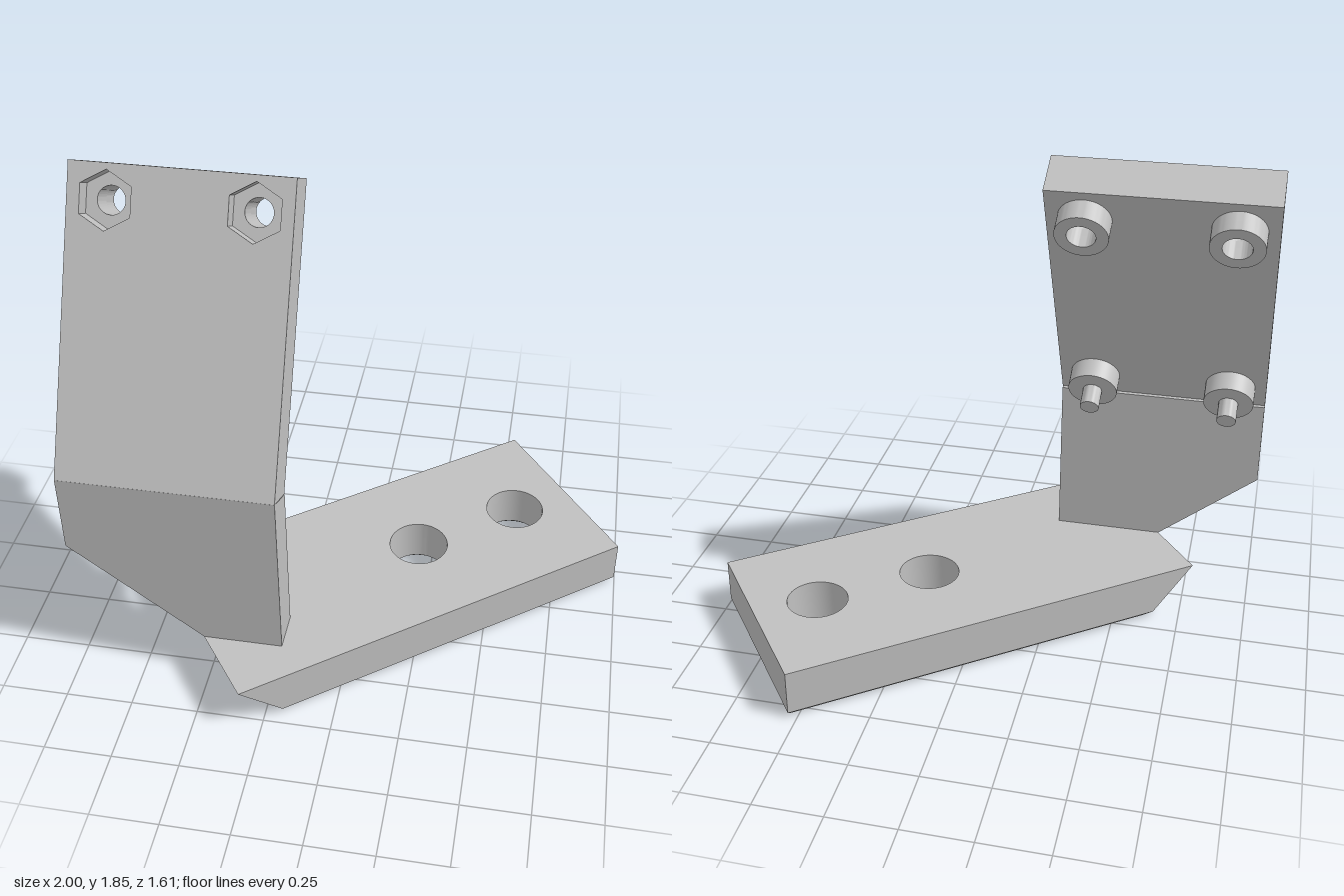
import * as THREE from 'three';
import { toCreasedNormals } from 'three/addons/utils/BufferGeometryUtils.js';

const grey = new THREE.MeshStandardMaterial({ color: 0xc0c0c0 });
grey.name = 'grey';

function add(parent, geometry, name) {
  const mesh = new THREE.Mesh(toCreasedNormals(geometry, 0.5), grey);
  mesh.name = name;
  parent.add(mesh);
  return mesh;
}

function polygon(points) {
  return new THREE.Shape(points.map(([x, y]) => new THREE.Vector2(x, y)));
}

function circle(x, y, r) {
  return new THREE.Path().absarc(x, y, r, 0, Math.PI * 2, true);
}

function hexagon(x, y, r) {
  const pts = [];
  for (let i = 0; i < 6; i++) {
    const a = Math.PI / 2 - (i * Math.PI) / 3;
    pts.push(new THREE.Vector2(x + r * Math.cos(a), y + r * Math.sin(a)));
  }
  return new THREE.Path(pts);
}

function extrude(shape, depth, steps = 1) {
  return new THREE.ExtrudeGeometry(shape, { depth, steps, bevelEnabled: false, curveSegments: 32 });
}

// Move every vertex by a rule
function warp(geometry, rule) {
  const p = geometry.attributes.position;
  const v = new THREE.Vector3();
  for (let i = 0; i < p.count; i++) {
    rule(v.fromBufferAttribute(p, i));
    p.setXYZ(i, v.x, v.y, v.z);
  }
  geometry.computeVertexNormals();
  return geometry;
}

const H = 0.187; // base thickness

// Foot bar with two holes, 45 degree end and a small chamfer underneath
function makeBase() {
  const L = 0.828, W = 0.385, R = 0.115, chamfer = 0.018;
  const holes = [0.583, 0.128];
  const shape = polygon([[-L, -W], [L, -W], [L, W], [-L, W]]);
  holes.forEach((u) => shape.holes.push(circle(u, 0, R)));
  const geo = warp(extrude(shape, H, 2), (v) => {
    const bottom = v.z < 0.01;
    if (!bottom && v.z < H - 0.01) v.z = chamfer;
    const hole = holes.find((u) => Math.hypot(v.x - u, v.y) < R + 0.01);
    if (hole !== undefined) {
      if (bottom) {
        const k = (R + chamfer) / R;
        v.x = hole + (v.x - hole) * k;
        v.y *= k;
      }
      return;
    }
    if (v.x < 0) v.x += H - v.z;
    if (bottom) {
      v.x -= Math.sign(v.x) * chamfer;
      v.y -= Math.sign(v.y) * chamfer;
    }
  });
  geo.rotateX(-Math.PI / 2);
  return geo;
}

// Upright plate whose lower corner continues the sloped end of the base
function makeUpright() {
  const shape = polygon([[-0.512, H], [-0.217, H], [-0.217, 0.88], [-1, 0.88], [-1, 0.572]]);
  return warp(extrude(shape, 0.15), (v) => {
    if (v.z < 0.01) {
      if (v.y > 0.8) v.y = 0.8;
      else if (v.x < -0.9) v.y = 0.482;
      else if (v.x < -0.4) v.x = -0.628;
    }
    v.z += 0.4;
  });
}

export function createModel() {
  const model = new THREE.Group();
  model.name = 'angledBracket';

  const base = add(model, makeBase(), 'base');
  base.rotation.y = 0.649;
  base.position.set(0.105, 0, -0.005);

  add(model, makeUpright(), 'uprightPlate');

  // Leaning plate: y runs up the slope, z is its front normal
  const lean = new THREE.Group();
  lean.name = 'leaningPlate';
  lean.position.set(-0.6085, 1.85, 0.03);
  lean.rotation.x = -0.493;
  model.add(lean);

  const half = 0.3915, T = 0.163, recess = 0.07, length = 1.1;
  const xs = [-0.257, 0.257], topY = -0.125, lowY = -0.995;
  const layer = (name, zBack, depth, cut) => {
    const shape = polygon([[-half, -length], [half, -length], [half, 0], [-half, 0]]);
    xs.forEach((x) => shape.holes.push(cut(x)));
    const geo = warp(extrude(shape, depth), (v) => {
      v.z += zBack;
      if (v.y < -1.05) v.y -= v.z * 0.02;
    });
    add(lean, geo, name);
  };
  layer('frontLayerWithNutPockets', -recess, recess, (x) => hexagon(x, topY, 0.103));
  layer('backLayerWithBoltHoles', -T, T - recess, (x) => circle(x, topY, 0.05));

  // Hollow bosses at the top, solid bosses with pins below
  for (const x of xs) {
    const ring = new THREE.Shape().absarc(0, 0, 0.093, 0, Math.PI * 2, false);
    ring.holes.push(circle(0, 0, 0.05));
    add(lean, extrude(ring, 0.08), 'hollowBoss').position.set(x, topY, -T - 0.08);

    const boss = new THREE.CylinderGeometry(0.093, 0.093, 0.08, 48).rotateX(Math.PI / 2);
    add(lean, boss, 'solidBoss').position.set(x, lowY, -T - 0.04);

    const pin = new THREE.CylinderGeometry(0.036, 0.036, 0.08, 32).rotateX(Math.PI / 2);
    add(lean, pin, 'pin').position.set(x, lowY, -T - 0.12);
  }
  return model;
}
